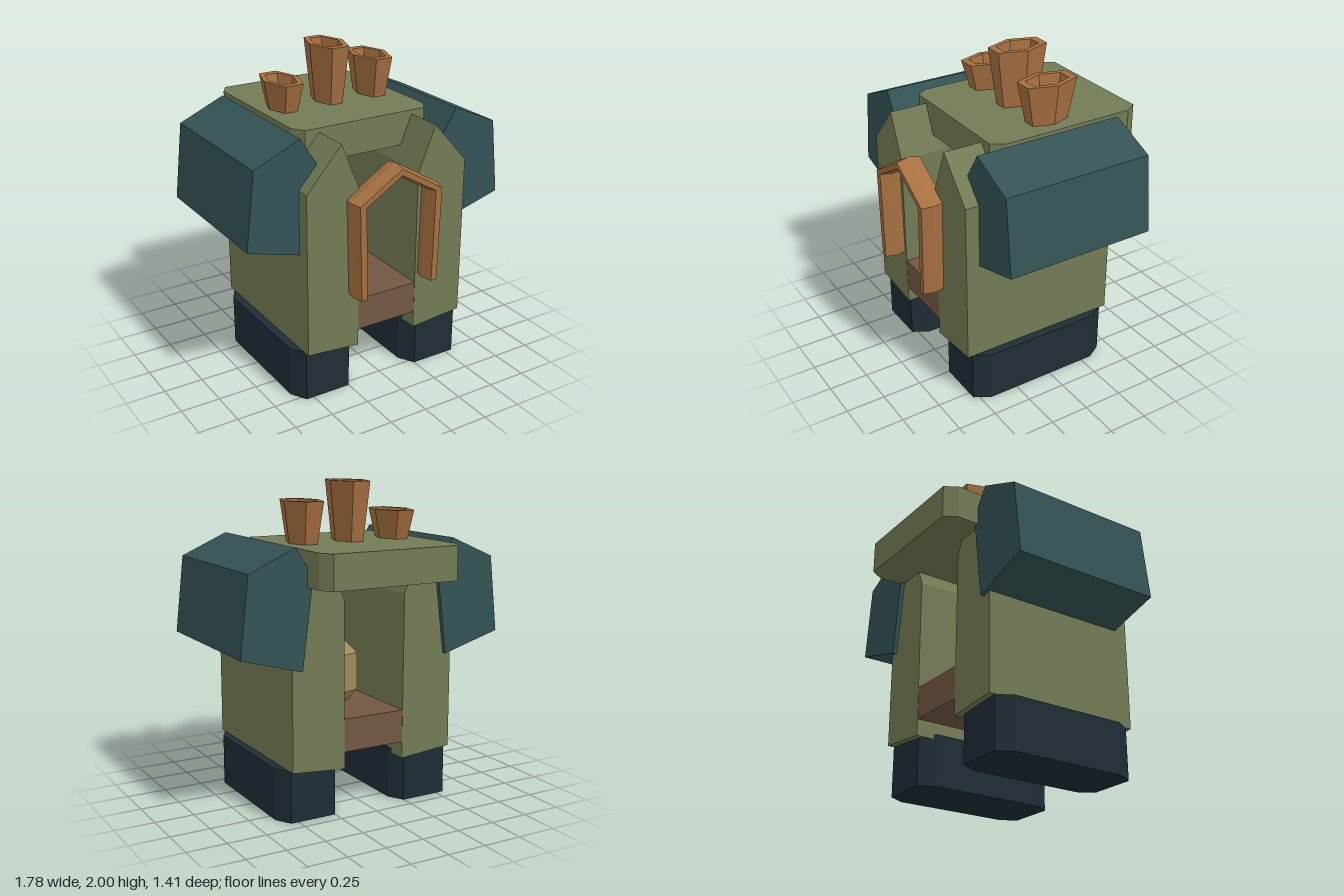
import * as THREE from 'three';

const mat = (color) => new THREE.MeshStandardMaterial({ color, flatShading: true });

// Prism with an x/y outline, running from z0 to z1
function prism(points, z0, z1) {
  const shape = new THREE.Shape(points.map(([x, y]) => new THREE.Vector2(x, y)));
  const geo = new THREE.ExtrudeGeometry(shape, { depth: z1 - z0, bevelEnabled: false });
  return geo.translate(0, 0, z0);
}

// Upright block with chamfered vertical corners, standing on y = 0
function chamferedBlock(halfX, halfZ, height, cx, cz) {
  const outline = [
    [halfX, halfZ - cz], [halfX - cx, halfZ], [cx - halfX, halfZ], [-halfX, halfZ - cz],
    [-halfX, cz - halfZ], [cx - halfX, -halfZ], [halfX - cx, -halfZ], [halfX, cz - halfZ],
  ];
  return prism(outline, 0, height).rotateX(-Math.PI / 2);
}

// Six-sided bar swept through stations of [outerX, outerY, innerX, innerY]
function hexBar(stations, zMid, zHalf) {
  const section = [[0, 0], [0.25, 1], [0.75, 1], [1, 0], [0.75, -1], [0.25, -1]];
  const n = section.length;
  const pos = [];
  const index = [];
  for (const [ox, oy, ix, iy] of stations) {
    for (const [t, s] of section) {
      pos.push(ox + (ix - ox) * t, oy + (iy - oy) * t, zMid + s * zHalf);
    }
  }
  for (let i = 0; i < stations.length - 1; i++) {
    for (let j = 0; j < n; j++) {
      const a = i * n + j;
      const b = i * n + (j + 1) % n;
      index.push(a, b, b + n, a, b + n, a + n);
    }
  }
  const end = (stations.length - 1) * n;
  for (let j = 1; j < n - 1; j++) {
    index.push(0, j + 1, j, end, end + j, end + j + 1);
  }
  const geo = new THREE.BufferGeometry();
  geo.setAttribute('position', new THREE.Float32BufferAttribute(pos, 3));
  geo.setIndex(index);
  geo.computeVertexNormals();
  return geo;
}

// Six-sided turned form from [radius, y] points
function hexLathe(points, phiStart) {
  return new THREE.LatheGeometry(points.map(([r, y]) => new THREE.Vector2(r, y)), 6, phiStart);
}

export function createModel() {
  const model = new THREE.Group();
  model.name = 'furnaceShrine';

  const green = mat(0x737b55);
  const teal = mat(0x345355);
  const navy = mat(0x1f2d35);
  const copper = mat(0xa56f40);
  const brown = mat(0x735842);
  const gold = mat(0x9f8a5a);

  const add = (name, geo, material, x = 0, y = 0, z = 0) => {
    const mesh = new THREE.Mesh(geo, material);
    mesh.name = name;
    mesh.position.set(x, y, z);
    model.add(mesh);
    return mesh;
  };

  // Mirrored side parts: feet, walls and shoulder guards
  const wall = [[0.555, 0.325], [0.555, 1.35], [0.325, 1.61], [0.21, 1.33], [0.205, 0.295]];
  const guard = [[0.54, 1.655], [0.835, 1.525], [0.89, 1.045], [0.5, 0.935], [0.43, 1.48]];
  for (const [side, s] of [['left', 1], ['right', -1]]) {
    const mirror = (pts) => pts.map(([x, y]) => [s * x, y]);
    add(side + 'Foot', chamferedBlock(0.207, 0.478, 0.325, 0.057, 0.1), navy, s * 0.4, 0, 0.057);
    add(side + 'Wall', prism(mirror(wall), -0.46, 0.57), green);
    add(side + 'ShoulderGuard', prism(mirror(guard), -0.487, 0.483), teal);
  }

  // Roof slab overhanging the back
  add('roof', chamferedBlock(0.468, 0.515, 0.21, 0.05, 0.08), green, 0, 1.425, -0.19);

  // Floor slab between the walls
  add('floor', new THREE.BoxGeometry(0.67, 0.205, 1.026), brown, 0, 0.5025, 0.055);

  // Pointed arch frame on the front
  const half = [[-0.29, 0.67, -0.21, 0.67], [-0.307, 1.272, -0.22, 1.252]];
  const arch = [
    ...half,
    [0, 1.46, 0, 1.382],
    ...half.map(([ox, oy, ix, iy]) => [-ox, oy, -ix, iy]).reverse(),
  ];
  add('archFrame', hexBar(arch, 0.628, 0.077), copper);

  // Hollow flared chimneys
  for (const [name, x, top] of [
    ['rightChimney', -0.318, 1.815], ['middleChimney', 0, 2], ['leftChimney', 0.315, 1.89],
  ]) {
    const h = top - 1.63;
    const profile = [[0.083, 0], [0.117, h], [0.085, h], [0.047, 0.008]];
    add(name, hexLathe(profile, Math.PI / 2), copper, x, 1.63, -0.132).scale.z = 1.7;
  }

  // Crystal standing on the floor
  const crystal = [[0, 0.6], [0.055, 0.6], [0.12, 0.675], [0.12, 0.915], [0, 1.03]];
  add('crystal', hexLathe(crystal, Math.PI / 4), gold, 0, 0, -0.03);

  return model;
}
